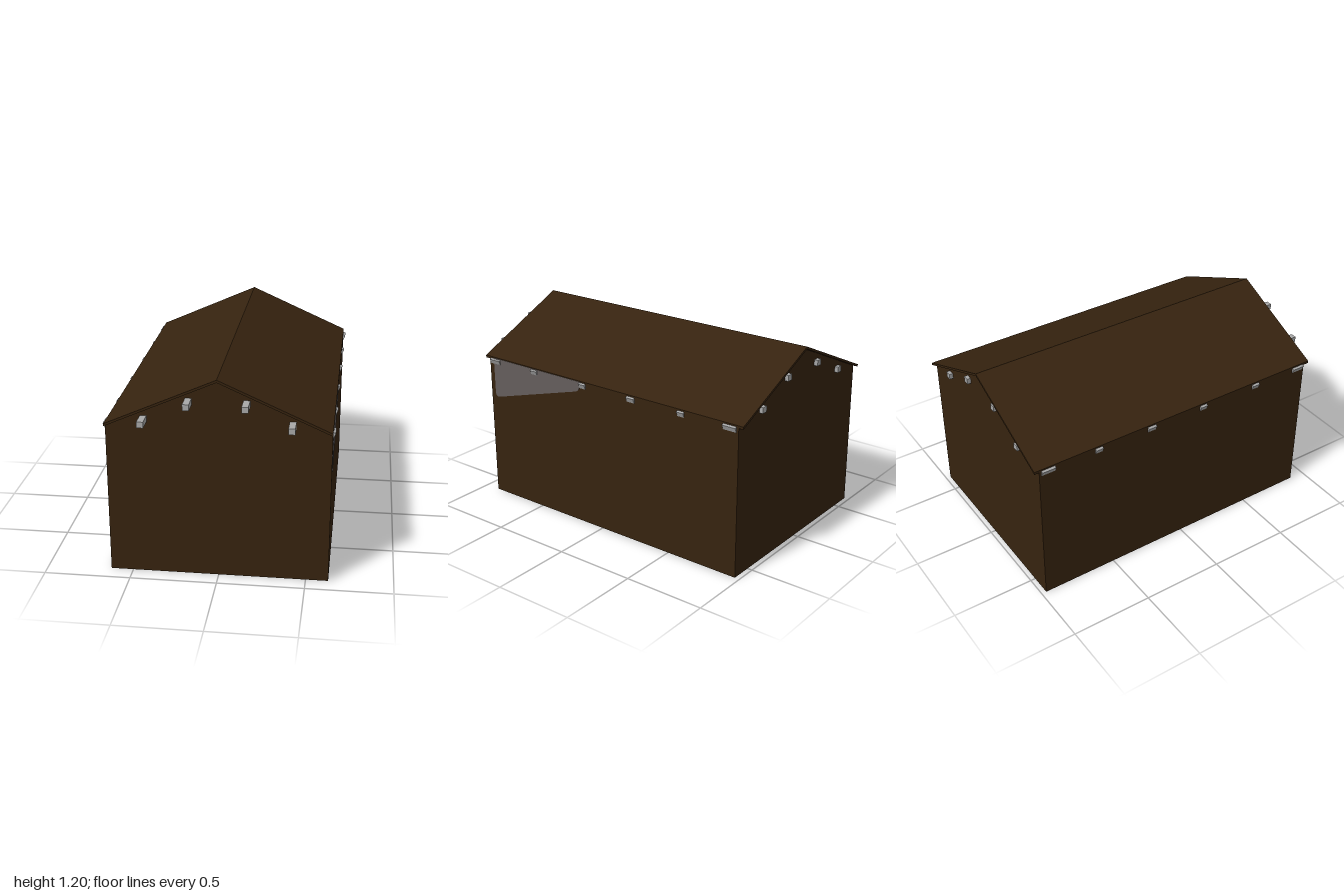
import * as THREE from 'three';

const darkWood = new THREE.MeshStandardMaterial({ name: 'darkWood', color: 0x36230f });
const beamGrey = new THREE.MeshStandardMaterial({ name: 'beamGrey', color: 0xa8a8a8 });
const panelGrey = new THREE.MeshStandardMaterial({ name: 'panelGrey', color: 0x645d5c });

const HALF = 0.63, EAVE = 0.92, RIDGE = 1.2, ROOF = 0.015;

// Extrude an outline of [x, y] points along z between two depths
function prism(points, z0, z1) {
  const shape = new THREE.Shape(points.map(([x, y]) => new THREE.Vector2(x, y)));
  const geo = new THREE.ExtrudeGeometry(shape, { depth: z1 - z0, bevelEnabled: false });
  return geo.translate(0, 0, z0);
}

function add(parent, geo, material, name) {
  const mesh = new THREE.Mesh(geo, material);
  mesh.name = name;
  parent.add(mesh);
  return mesh;
}

export function createModel() {
  const house = new THREE.Group();
  house.name = 'gabledHouse';

  // Walls with gable ends
  const w = HALF - 0.001, top = EAVE - ROOF / 2, peak = RIDGE - ROOF / 2;
  add(house, prism([[-w, 0], [w, 0], [w, top], [0, peak], [-w, top]], -0.97, 0.9), darkWood, 'walls');

  // Thin roof overhanging both gables
  add(house, prism([
    [-HALF, EAVE - ROOF], [0, RIDGE - ROOF], [HALF, EAVE - ROOF],
    [HALF, EAVE], [0, RIDGE], [-HALF, EAVE],
  ], -1, 0.935), darkWood, 'roof');

  // Purlin ends on the front and back gables
  for (const side of [-1, 1]) {
    for (const [x, y] of [[0.16, 1.06], [0.412, 0.948]]) {
      const front = add(house, new THREE.BoxGeometry(0.037, 0.035, 0.12), beamGrey, 'frontPurlinEnd');
      front.position.set(side * x, y, 0.94);
      const back = add(house, new THREE.BoxGeometry(0.037, 0.035, 0.05), beamGrey, 'backPurlinEnd');
      back.position.set(side * x, y, -0.968);
    }

    // Sloped rafter ends under the eaves: [z, width]
    const rafters = [[0.85, 0.08], [0.52, 0.048], [0.132, 0.046], [-0.232, 0.054], [-0.588, 0.046], [-0.913, 0.086]];
    for (const [z, width] of rafters) {
      const rafter = add(house, new THREE.BoxGeometry(0.04, 0.031, width), beamGrey, 'rafterEnd');
      rafter.position.set(side * 0.619, 0.899, z);
      rafter.rotation.z = -side * Math.atan2(RIDGE - EAVE, HALF);
    }
  }

  // Tapered side panel with rounded lower corners, drawn in (-z, y)
  const s = new THREE.Shape();
  s.moveTo(-0.865, 0.915);
  s.lineTo(-0.865, 0.685);
  s.quadraticCurveTo(-0.862, 0.655, -0.83, 0.664);
  s.lineTo(-0.185, 0.848);
  s.quadraticCurveTo(-0.15, 0.862, -0.145, 0.915);
  const panel = new THREE.ExtrudeGeometry(s, { depth: 0.004, bevelEnabled: false, curveSegments: 6 });
  panel.rotateY(Math.PI / 2).translate(HALF - 0.002, 0, 0);
  add(house, panel, panelGrey, 'sidePanel');

  return house;
}
